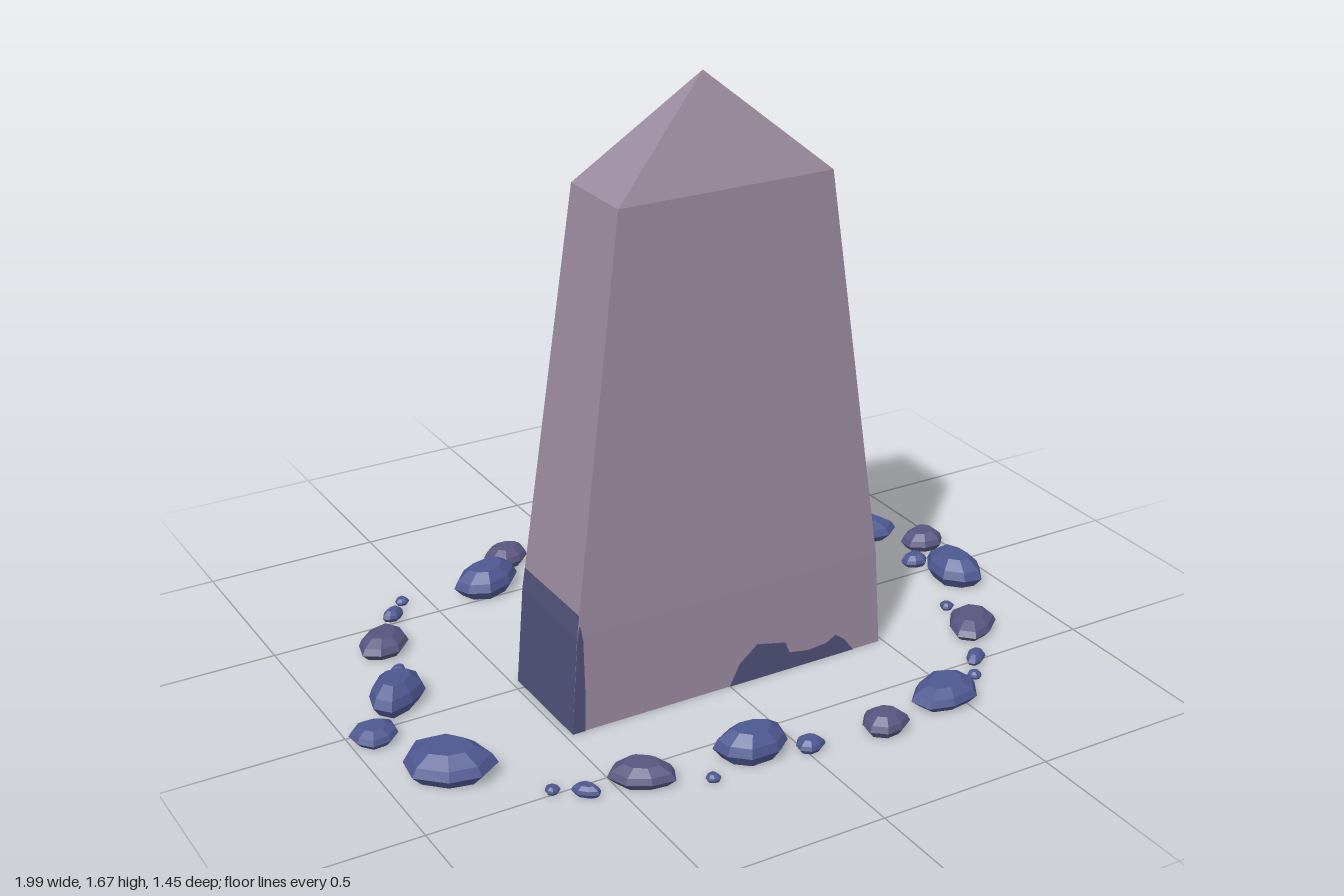
import * as THREE from 'three';

const mat = (name, color) => new THREE.MeshStandardMaterial({ name, color, flatShading: true, side: THREE.DoubleSide });

// Rings of the hollow monolith: [y, xMin, xMax, zMin, zMax]
const RINGS = [
  [0, -0.48, 0.487, -0.04, 0.277],
  [0.28, -0.46, 0.469, -0.036, 0.274],
  [0.34, -0.452, 0.461, -0.034, 0.272],
  [1.4, -0.31, 0.315, 0, 0.243],
];
const APEX = [0, 1.675, 0.12];

function mesh(name, geometry, material) {
  const m = new THREE.Mesh(geometry, material);
  m.name = name;
  return m;
}

function trianglesToGeometry(points) {
  const g = new THREE.BufferGeometry();
  g.setAttribute('position', new THREE.Float32BufferAttribute(points.flat(), 3));
  g.computeVertexNormals();
  return g;
}

// Corners of a ring, starting at the front
const corners = ([y, x0, x1, z0, z1]) => [[x0, y, z1], [x1, y, z1], [x1, y, z0], [x0, y, z0]];

// Faceted, slightly irregular flattened stone
function makeStone(length, width, height, seed, material) {
  const profile = [[0, 0], [0.75, 0], [1, 0.38], [0.88, 0.68], [0.52, 1], [0, 1]]
    .map(([r, y]) => new THREE.Vector2(r, y));
  const g = new THREE.LatheGeometry(profile, 8, Math.PI / 8);
  const p = g.attributes.position;
  for (let i = 0; i < p.count; i++) {
    const x = p.getX(i), z = p.getZ(i);
    const k = 1 + 0.07 * Math.sin(3 * Math.atan2(z, x) + seed * 2.3);
    const lift = 1 + 0.08 * x * Math.sin(seed);
    p.setXYZ(i, x * k * length / 2, p.getY(i) * lift * height, z * k * width / 2);
  }
  g.computeVertexNormals();
  return mesh('stone', g, material);
}

// Group of equal-sized stones; each spot is [x, z, turn in degrees]
function scatter(name, [length, width, height], material, spots) {
  const group = new THREE.Group();
  group.name = name;
  spots.forEach(([x, z, turn = 0], i) => {
    const stone = makeStone(length, width, height, i + 1, material);
    stone.position.set(x, 0, z);
    stone.rotation.y = THREE.MathUtils.degToRad(turn);
    group.add(stone);
  });
  return group;
}

function makeMonolith(mauve, stain) {
  const monolith = new THREE.Group();
  monolith.name = 'monolith';

  // Walls, open underneath; the lower ends are indigo
  const wall = [], foot = [];
  for (let r = 0; r < RINGS.length - 1; r++) {
    const a = corners(RINGS[r]), b = corners(RINGS[r + 1]);
    for (let i = 0; i < 4; i++) {
      const j = (i + 1) % 4;
      const list = r < 2 && i % 2 === 1 ? foot : wall;
      list.push(a[i], a[j], b[j], a[i], b[j], b[i]);
    }
  }
  // Pyramid cap
  const top = corners(RINGS[3]);
  for (let i = 0; i < 4; i++) wall.push(top[i], top[(i + 1) % 4], APEX);
  monolith.add(mesh('monolithBody', trianglesToGeometry(wall), mauve));
  monolith.add(mesh('monolithFootEnds', trianglesToGeometry(foot), stain));

  // Thin stains along the bottom of the front wall, seen from both sides
  const edgeStain = [[-0.48, 0], [-0.443, 0], [-0.441, 0.1], [-0.445, 0.27], [-0.452, 0.31], [-0.459, 0.28]];
  const lowStain = [[0, 0], [0.03, 0.06], [0.085, 0.105], [0.175, 0.085], [0.19, 0.05],
    [0.25, 0.04], [0.31, 0.045], [0.34, 0.062], [0.37, 0.04], [0.4, 0]];
  for (const outline of [edgeStain, lowStain]) {
    const shape = new THREE.Shape(outline.map(([x, y]) => new THREE.Vector2(x, y)));
    const plate = mesh('frontStain', new THREE.ExtrudeGeometry(shape, { depth: 0.008, bevelEnabled: false }), stain);
    plate.position.z = 0.271;
    monolith.add(plate);
  }
  return monolith;
}

export function createModel() {
  const model = new THREE.Group();
  model.name = 'monolithWithStoneRing';
  const blue = mat('blueStone', 0x4d5890);
  const dusky = mat('duskyStone', 0x58557f);

  model.add(makeMonolith(mat('mauveStone', 0x9b8a9f), mat('indigoStain', 0x505079)));

  // Ring of stones, by size
  const ring = new THREE.Group();
  ring.name = 'stoneRing';
  ring.add(
    scatter('largestBoulder', [0.25, 0.2, 0.08], blue, [[-0.835, 0.275, -50]]),
    scatter('boulders', [0.21, 0.14, 0.08], blue, [
      [-0.325, -0.55, 15], [0.15, -0.65], [0.895, 0.075, 90], [-0.125, 0.59], [-0.81, -0.1, 45],
    ]),
    scatter('lowBoulders', [0.21, 0.155, 0.06], blue, [[0.815, -0.29, -45], [0.46, 0.62, 15]]),
    scatter('slabs', [0.18, 0.13, 0.055], dusky, [
      [0.445, -0.55, -35], [0.75, 0.355, 45], [-0.43, 0.555, -35], [-0.725, -0.38, 45],
    ]),
    scatter('duskyRocks', [0.13, 0.115, 0.055], dusky, [[-0.2, -0.675], [0.935, -0.135], [0.235, 0.665]]),
    scatter('blueRock', [0.13, 0.12, 0.045], blue, [[-0.935, 0.04]]),
    scatter('smallRocks', [0.08, 0.07, 0.035], blue, [[0.01, -0.675], [0.845, -0.05], [0.015, 0.645]]),
    scatter('chips', [0.08, 0.05, 0.03], blue, [
      [0.6, -0.46, -45], [0.655, 0.5, 38], [-0.58, 0.54, -50], [-0.63, -0.53, 35],
    ]),
    scatter('pebbles', [0.04, 0.04, 0.02], blue, [
      [0.3, -0.675], [0.675, -0.41], [0.765, 0.22], [0.6, 0.57],
      [-0.275, 0.645], [-0.65, 0.49], [-0.74, -0.245], [-0.575, -0.595],
    ]),
  );
  model.add(ring);
  return model;
}
